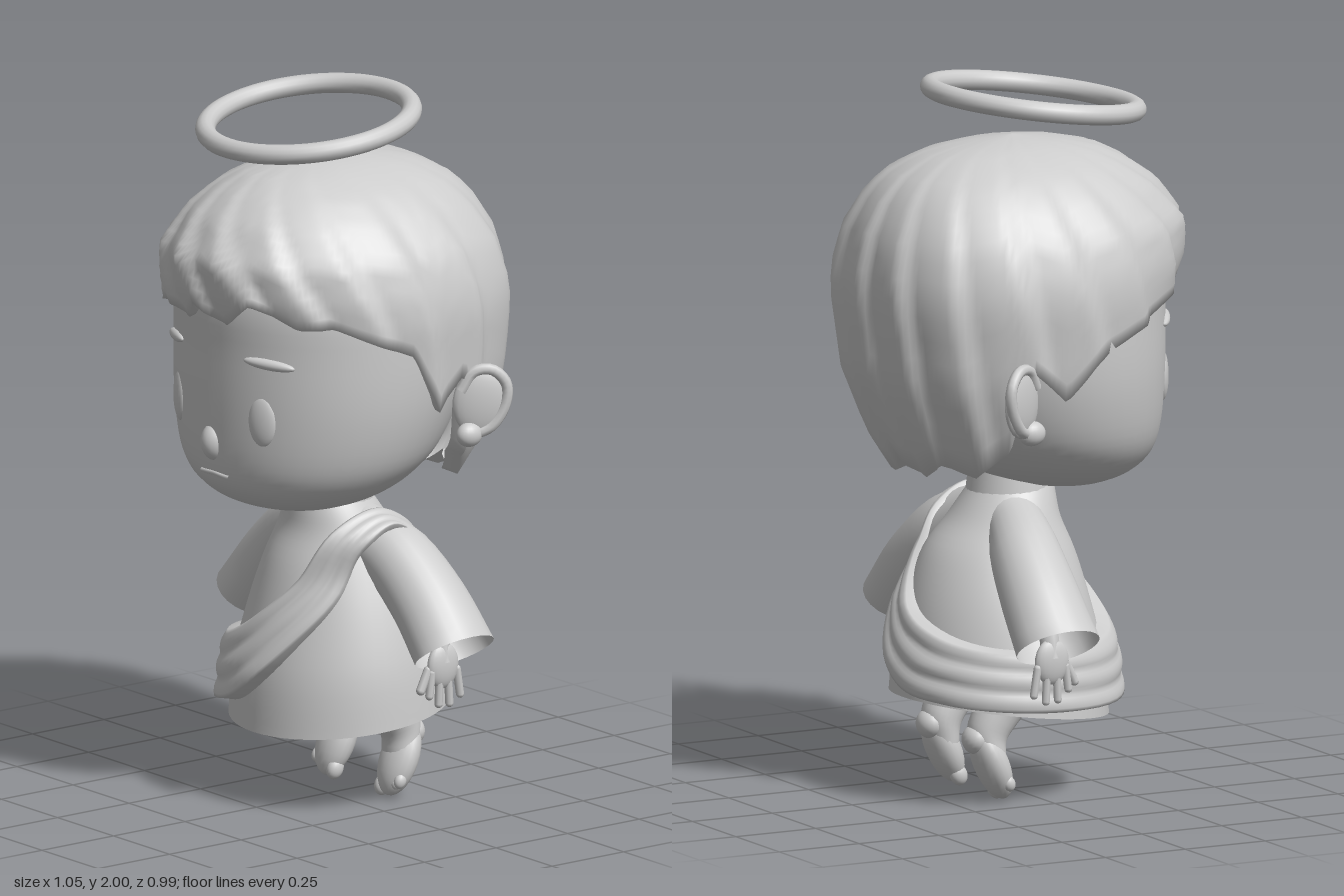
import * as THREE from 'three';

const grey = new THREE.MeshStandardMaterial({ color: 0xcccccc });
const greyDouble = new THREE.MeshStandardMaterial({ color: 0xcccccc, side: THREE.DoubleSide });
const { lerp, clamp, smoothstep } = THREE.MathUtils;

// Linear lookup in a table whose rows start with an ascending key
function lookup(table, key) {
  let i = 0;
  while (i < table.length - 2 && key > table[i + 1][0]) i++;
  const a = table[i], b = table[i + 1];
  const t = clamp((key - a[0]) / (b[0] - a[0]), 0, 1);
  return a.slice(1).map((v, k) => lerp(v, b[k + 1], t));
}

// Smooth run through the rows of a four-column table, v from 0 to 1
function smoothRows(table) {
  const curve = o => new THREE.SplineCurve(table.map(r => new THREE.Vector2(r[o], r[o + 1])));
  const c0 = curve(0), c2 = curve(2);
  return v => [...c0.getPoint(v).toArray(), ...c2.getPoint(v).toArray()];
}

// Surface closed in i (around) and open in j (upwards)
function grid(ni, nj, point) {
  const pos = [], index = [];
  for (let j = 0; j <= nj; j++) for (let i = 0; i < ni; i++) pos.push(...point(i / ni, j / nj));
  for (let j = 0; j < nj; j++) for (let i = 0; i < ni; i++) {
    const a = j * ni + i, b = j * ni + (i + 1) % ni;
    index.push(a, b, b + ni, a, b + ni, a + ni);
  }
  const geo = new THREE.BufferGeometry();
  geo.setAttribute('position', new THREE.Float32BufferAttribute(pos, 3));
  geo.setIndex(index);
  geo.computeVertexNormals();
  return geo;
}

function ellipsoid(x, y, z, sx, sy, sz, rx = 0, ry = 0, rz = 0) {
  return new THREE.SphereGeometry(1, 20, 14).scale(sx, sy, sz)
    .rotateZ(rz).rotateX(rx).rotateY(ry).translate(x, y, z);
}

function tube(points, radius, segments = 24) {
  const curve = new THREE.CatmullRomCurve3(points.map(p => new THREE.Vector3(...p)));
  return new THREE.TubeGeometry(curve, segments, radius, 8);
}

function mirror(geo) {
  const m = geo.clone().applyMatrix4(new THREE.Matrix4().makeScale(-1, 1, 1));
  const ix = m.index.array;
  for (let i = 0; i < ix.length; i += 3) [ix[i], ix[i + 1]] = [ix[i + 1], ix[i]];
  return m;
}

// height, half width, front z, back z
const HEAD = [
  [0.855, 0.002, 0.15, 0.146], [0.863, 0.13, 0.24, 0.03], [0.88, 0.2, 0.3, -0.04], [0.91, 0.27, 0.35, -0.12],
  [0.96, 0.335, 0.39, -0.2], [1.04, 0.385, 0.41, -0.28], [1.18, 0.42, 0.418, -0.35], [1.34, 0.43, 0.42, -0.4],
  [1.48, 0.42, 0.42, -0.41], [1.62, 0.37, 0.37, -0.37], [1.73, 0.25, 0.26, -0.26], [1.78, 0.002, 0.002, -0.002]];
const HAIR = [
  [0.9, 0.33, 0.33, 0.31], [1.02, 0.385, 0.38, 0.385], [1.2, 0.43, 0.41, 0.455], [1.42, 0.442, 0.445, 0.485],
  [1.5, 0.432, 0.475, 0.48], [1.6, 0.4, 0.485, 0.455], [1.7, 0.325, 0.41, 0.4], [1.76, 0.255, 0.33, 0.335],
  [1.8, 0.175, 0.25, 0.25], [1.825, 0.1, 0.14, 0.15], [1.84, 0, 0, 0]];
// height, half width, half depth, centre z
const TUNIC = [
  [0.255, 0.315, 0.3, -0.04], [0.4, 0.3, 0.288, -0.04], [0.55, 0.262, 0.255, -0.045], [0.68, 0.212, 0.21, -0.04],
  [0.77, 0.168, 0.155, -0.025], [0.83, 0.135, 0.13, -0.01], [0.865, 0.112, 0.118, 0]];
// hairline height by angle from the front, positive to the model's left
const HAIRLINE = [
  [-180, 0.96], [-165, 0.92], [-150, 0.97], [-135, 0.94], [-119, 1.02], [-109, 1.25], [-97, 1.16], [-85, 1.27],
  [-68, 1.33], [-50, 1.385], [-34, 1.42], [-16, 1.44], [-8, 1.415], [0, 1.475], [6, 1.455], [13, 1.425], [27, 1.5],
  [42, 1.435], [54, 1.44], [69, 1.39], [85, 1.34], [97, 1.16], [108, 1.26], [119, 1.02], [136, 0.92], [150, 0.96],
  [165, 0.91], [180, 0.96]];
// sash edges around the loop: upper x, y, z and lower x, y, z
const SASH = [
  [0.16, 0.835, -0.03, 0.24, 0.8, -0.04], [0.15, 0.79, 0.1, 0.235, 0.75, 0.05], [0.1, 0.66, 0.2, 0.22, 0.62, 0.12],
  [-0.04, 0.54, 0.26, 0.11, 0.44, 0.26], [-0.17, 0.48, 0.22, -0.05, 0.31, 0.29], [-0.27, 0.46, 0.1, -0.2, 0.27, 0.23],
  [-0.3, 0.45, -0.05, -0.33, 0.27, -0.04], [-0.25, 0.46, -0.2, -0.2, 0.29, -0.31], [-0.15, 0.49, -0.28, -0.03, 0.32, -0.36],
  [-0.02, 0.55, -0.32, 0.12, 0.43, -0.33], [0.1, 0.67, -0.25, 0.21, 0.61, -0.2], [0.15, 0.79, -0.14, 0.235, 0.75, -0.12]];

const headRow = smoothRows(HEAD), tunicRow = smoothRows(TUNIC);

function faceZ(x, y) {
  const [rx, f, b] = lookup(HEAD, y);
  return (f + b) / 2 + (f - b) / 2 * Math.sqrt(Math.max(0, 1 - (x / rx) ** 2));
}

function headPoint(u, v) {
  const a = u * Math.PI * 2, [y, rx, f, b] = headRow(v);
  return [rx * Math.sin(a), y, (f + b) / 2 + (f - b) / 2 * Math.cos(a)];
}

// Swept locks: overlapping strands growing towards the hairline, with a tucked-in lip
function hairPoint(u, v) {
  const a = u * Math.PI * 2 - Math.PI, rows = 22;
  const row = Math.round((1 - v) * rows), t = Math.min(row / (rows - 1), 1);
  const edge = lookup(HAIRLINE, a * 180 / Math.PI)[0];
  const y = 1.84 - (1.84 - edge) * (1 - Math.cos(t * Math.PI / 2));
  const [rx, f, b] = lookup(HAIR, y);
  const phase = a * 8 / Math.PI + (1 - t) * (1.2 + 0.8 * Math.cos(a)) + 100.5;
  const step = phase - Math.floor(phase);
  const lock = step < 0.75 ? step / 0.75 : (1 - step) / 0.25;
  const fullBack = Math.cos(a) < 0 ? 0.06 * Math.sin(2 * a) ** 2 : 0;
  const k = (1 + fullBack + 0.045 * Math.min(1, t * 1.5) * (lock - 0.35)) * (row === rows ? 0.88 : 1);
  return [rx * Math.sin(a) * k, y + (row === rows ? 0.015 : 0), (Math.cos(a) > 0 ? f : b) * Math.cos(a) * k];
}

function tunicPoint(u, v) {
  const a = u * Math.PI * 2, [y, rx, rz, zc] = tunicRow(v);
  const z = zc + rz * Math.cos(a);
  return [rx * Math.sin(a), y - 0.12 * (z - zc) * (1 - v) ** 2, z];
}

// Shallow dome closing the tunic from below
function liningPoint(u, v) {
  const [x, y, z] = tunicPoint(u, 0), k = Math.max(v, 0.001);
  return [x * k, lerp(0.35, y, v ** 3), -0.04 + (z + 0.04) * k];
}

// The sash hugs the tunic below the chest and follows its own edges over the shoulder
function makeSash() {
  const edge = o => new THREE.CatmullRomCurve3(SASH.map(s => new THREE.Vector3(s[o], s[o + 1], s[o + 2])), true);
  const upper = edge(0), lower = edge(3), pivot = new THREE.Vector3(0.08, 0.65, -0.04);
  return grid(80, 20, (u, s) => {
    const p = lower.getPoint(1 - u).lerp(upper.getPoint(1 - u), s);
    const rim = s === 0 || s === 1;
    const fold = 0.01 * Math.abs(Math.sin(s * Math.PI * 3 + 0.5 * Math.sin(u * Math.PI * 4)));
    const off = rim ? -0.01 : 0.018 + fold + 0.022 * smoothstep(0.7 - p.y, 0, 0.35);
    const free = p.clone().sub(pivot).multiplyScalar(1 + off * 3).add(pivot);
    const [rx, rz, zc] = lookup(TUNIC, p.y);
    const k = 1 / Math.hypot(p.x / rx, (p.z - zc) / rz);
    const x = p.x * k * (1 + off * 0.7 / rx), z = zc + (p.z - zc) * k * (1 + off / rz);
    return new THREE.Vector3(x, p.y, z).lerp(free, smoothstep(p.y, 0.64, 0.78)).toArray();
  });
}

// Rings of [x, y, z, radius across, radius along side, tilt]; sections lie across a bent limb
function limb(rings, sideways) {
  const n = rings.length - 1, path = new THREE.CatmullRomCurve3(rings.map(r => new THREE.Vector3(r[0], r[1], r[2])));
  return grid(24, n * 4, (u, v) => {
    const a = u * Math.PI * 2, c = path.getPoint(v), i = Math.min(Math.floor(v * n), n - 1);
    const [, , , r1, r2, tilt] = rings[i].map((q, k) => lerp(q, rings[i + 1][k], v * n - i));
    const s = Math.sin(a) * r1, q = Math.cos(a) * r2;
    return sideways
      ? [c.x + s * Math.cos(tilt), c.y + s * Math.sin(tilt), c.z + q]
      : [c.x + s, c.y + q * Math.sin(tilt), c.z + q * Math.cos(tilt)];
  });
}

export function createModel() {
  const model = new THREE.Group();
  const add = (name, geo, mat = grey) => {
    const mesh = new THREE.Mesh(geo, mat);
    mesh.name = name;
    model.add(mesh);
  };
  const pair = (name, geo, mat) => {
    add(name + 'Left', geo, mat);
    add(name + 'Right', mirror(geo), mat);
  };

  // Head and face
  add('head', grid(48, 44, headPoint));
  add('hair', grid(192, 22, hairPoint), greyDouble);
  add('neck', new THREE.CylinderGeometry(0.1, 0.13, 0.24, 28).translate(0, 0.89, -0.008));
  add('nose', ellipsoid(0, 1.07, 0.39, 0.04, 0.055, 0.047));
  add('mouth', tube([-0.06, -0.03, 0, 0.03, 0.06].map(x => [x, 0.98 - Math.abs(x) * 0.06, faceZ(x, 0.98) + 0.002]), 0.007));
  pair('eye', ellipsoid(0.183, 1.16, faceZ(0.183, 1.16) - 0.006, 0.043, 0.072, 0.018, 0, 0.42));
  pair('eyebrow', ellipsoid(0.205, 1.325, faceZ(0.205, 1.325) - 0.004, 0.078, 0.016, 0.017, 0, 0.48, -0.08));

  // Ears: shallow bowl with a rolled rim
  const place = g => g.rotateZ(-0.1).rotateY(1.05).translate(0.43, 1.165, -0.185);
  pair('ear', place(ellipsoid(0.01, 0.01, -0.012, 0.078, 0.1, 0.026)));
  pair('earRim', place(tube([[-0.05, 0.04, 0], [-0.02, 0.095, 0], [0.03, 0.105, 0], [0.073, 0.07, 0],
    [0.077, 0.01, 0], [0.045, -0.055, 0], [-0.005, -0.085, -0.005]], 0.016)));
  pair('earLobe', ellipsoid(0.42, 1.085, -0.165, 0.03, 0.035, 0.04));

  // Halo
  add('halo', new THREE.TorusGeometry(0.286, 0.028, 14, 64).rotateX(Math.PI / 2 + 0.13).translate(0, 1.934, 0.068));

  // Clothes
  add('tunic', grid(56, 24, tunicPoint), greyDouble);
  add('tunicLining', grid(56, 8, liningPoint), greyDouble);
  add('sash', makeSash(), greyDouble);
  pair('sleeve', limb([
    [0.443, 0.482, -0.095, 0.102, 0.122, 0.63], [0.335, 0.6, -0.092, 0.103, 0.112, 0.75],
    [0.21, 0.705, -0.075, 0.1, 0.1, 1.05], [0.09, 0.765, -0.04, 0.085, 0.085, 1.35]], true), greyDouble);

  // Arms and hands
  pair('forearm', tube([[0.3, 0.62, -0.09], [0.37, 0.53, -0.09], [0.395, 0.44, -0.09]], 0.028));
  pair('palm', ellipsoid(0.397, 0.435, -0.09, 0.022, 0.065, 0.052));
  [[-0.045, 0.345], [-0.075, 0.318], [-0.108, 0.315], [-0.142, 0.335]].forEach(([z, tip], i) => {
    const len = 0.41 - tip;
    pair('finger' + (i + 1), new THREE.CapsuleGeometry(0.0115, len, 4, 8)
      .rotateX((z + 0.09) * -3).translate(0.4, tip + len / 2 + 0.01, z));
  });
  pair('thumb', new THREE.CapsuleGeometry(0.013, 0.06, 4, 8).rotateX(-0.45).translate(0.392, 0.4, -0.03));

  // Legs trailing back with the feet pointing down
  pair('leg', limb([
    [0.135, 0.13, -0.145, 0.058, 0.045, -0.1], [0.132, 0.19, -0.15, 0.056, 0.058, -0.35],
    [0.135, 0.25, -0.12, 0.058, 0.066, -0.6], [0.135, 0.32, -0.07, 0.066, 0.078, -0.6],
    [0.13, 0.42, 0.0, 0.08, 0.088, -0.6]], false), greyDouble);
  pair('foot', ellipsoid(0.139, 0.11, -0.14, 0.064, 0.108, 0.046, -0.4));
  pair('heel', ellipsoid(0.132, 0.18, -0.182, 0.046, 0.042, 0.04));
  [0.107, 0.132, 0.153, 0.17, 0.184].forEach((x, i) => {
    const r = i ? 0.015 : 0.021;
    pair('toe' + (i + 1), ellipsoid(x, 0.034 + i * 0.006, -0.108, r, r * 1.5, r * 1.2, -0.4));
  });

  return model;
}
